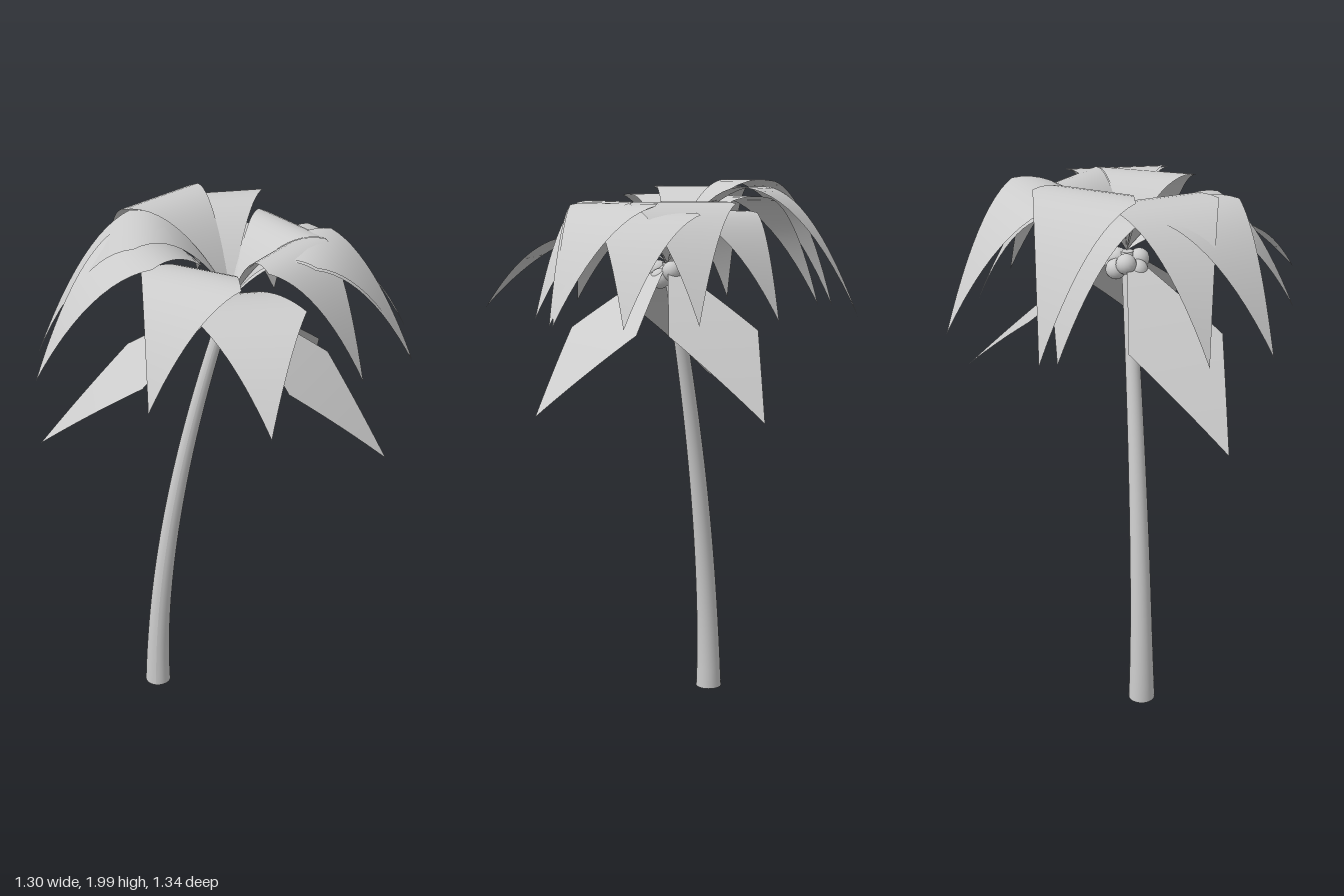
import * as THREE from 'three';

const CROWN = new THREE.Vector3(0.01, 1.7, -0.01);
const TRUNK_H = 1.7;

// Kite-shaped frond: arched from the crown through midY to its tip
function makeFrond(tipX, tipY, tipZ, midY, material) {
  const geo = new THREE.PlaneGeometry(1, 1, 2, 24);
  const pos = geo.attributes.position;
  const dx = tipX - CROWN.x, dz = tipZ - CROWN.z, len = Math.hypot(dx, dz);
  const bump = midY - (CROWN.y + tipY) / 2;
  for (let i = 0; i < pos.count; i++) {
    const t = 0.5 + pos.getY(i);
    const side = pos.getX(i) * 2 * 0.187 * (1 - Math.abs(2 * t - 1));
    pos.setXYZ(i,
      CROWN.x + dx * t + (dz / len) * side,
      CROWN.y + (tipY - CROWN.y) * t + 4 * bump * t * (1 - t),
      CROWN.z + dz * t - (dx / len) * side);
  }
  geo.computeVertexNormals();
  return new THREE.Mesh(geo, material);
}

// Tapered trunk, flared at the foot and bending toward +x
function makeTrunk(material) {
  const geo = new THREE.CylinderGeometry(1, 1, TRUNK_H, 24, 24);
  const pos = geo.attributes.position;
  for (let i = 0; i < pos.count; i++) {
    // Clamped so rounding never gives a negative base to the power below
    const t = THREE.MathUtils.clamp(pos.getY(i) / TRUNK_H + 0.5, 0, 1);
    const r = 0.044 - 0.022 * t + 0.006 * Math.pow(1 - t, 8);
    pos.setXYZ(i, -0.29 + 0.295 * Math.pow(t, 1.8) + pos.getX(i) * r, t * TRUNK_H, -0.01 + pos.getZ(i) * r);
  }
  geo.computeVertexNormals();
  return new THREE.Mesh(geo, material);
}

export function createModel() {
  const group = new THREE.Group();
  const solid = new THREE.MeshStandardMaterial({ color: 0xcccccc });
  const thin = new THREE.MeshStandardMaterial({ color: 0xcccccc, side: THREE.DoubleSide });

  const trunk = makeTrunk(solid);
  trunk.name = 'trunk';
  group.add(trunk);

  // Tip x, tip z and mid height of each arched frond
  const arched = [
    [-0.54, -0.40, 1.99], [-0.54, -0.34, 1.93], [-0.21, -0.67, 1.965],
    [0.11, -0.53, 1.88], [0.39, -0.385, 1.915], [0.62, -0.24, 1.88],
    [0.65, 0.025, 1.91], [0.65, 0.04, 1.905], [0.49, 0.225, 1.915],
    [0.225, 0.67, 1.79], [-0.19, 0.55, 1.875], [-0.61, 0.36, 1.935],
    [-0.655, 0.135, 1.965],
  ];
  const fronds = new THREE.Group();
  fronds.name = 'fronds';
  arched.forEach(([x, z, mid], i) => {
    const frond = makeFrond(x, 1.52, z, mid, thin);
    frond.name = 'archedFrond' + (i + 1);
    fronds.add(frond);
  });

  // Three old fronds hang almost straight
  [[0.27, -0.57], [0.58, 0.16], [-0.65, 0.21]].forEach(([x, z], i) => {
    const frond = makeFrond(x, 1.195, z, 1.47, thin);
    frond.name = 'hangingFrond' + (i + 1);
    fronds.add(frond);
  });
  group.add(fronds);

  // Ring of coconuts under the crown
  const coconuts = new THREE.Group();
  coconuts.name = 'coconuts';
  for (let i = 0; i < 6; i++) {
    const a = (i / 6) * Math.PI * 2 + 0.3;
    const nut = new THREE.Mesh(new THREE.SphereGeometry(0.037, 16, 12), solid);
    nut.name = 'coconut' + (i + 1);
    nut.position.set(-0.005 + Math.cos(a) * 0.045, 1.655 + (i % 2 ? 0.015 : -0.012), -0.01 + Math.sin(a) * 0.045);
    coconuts.add(nut);
  }
  group.add(coconuts);
  return group;
}
